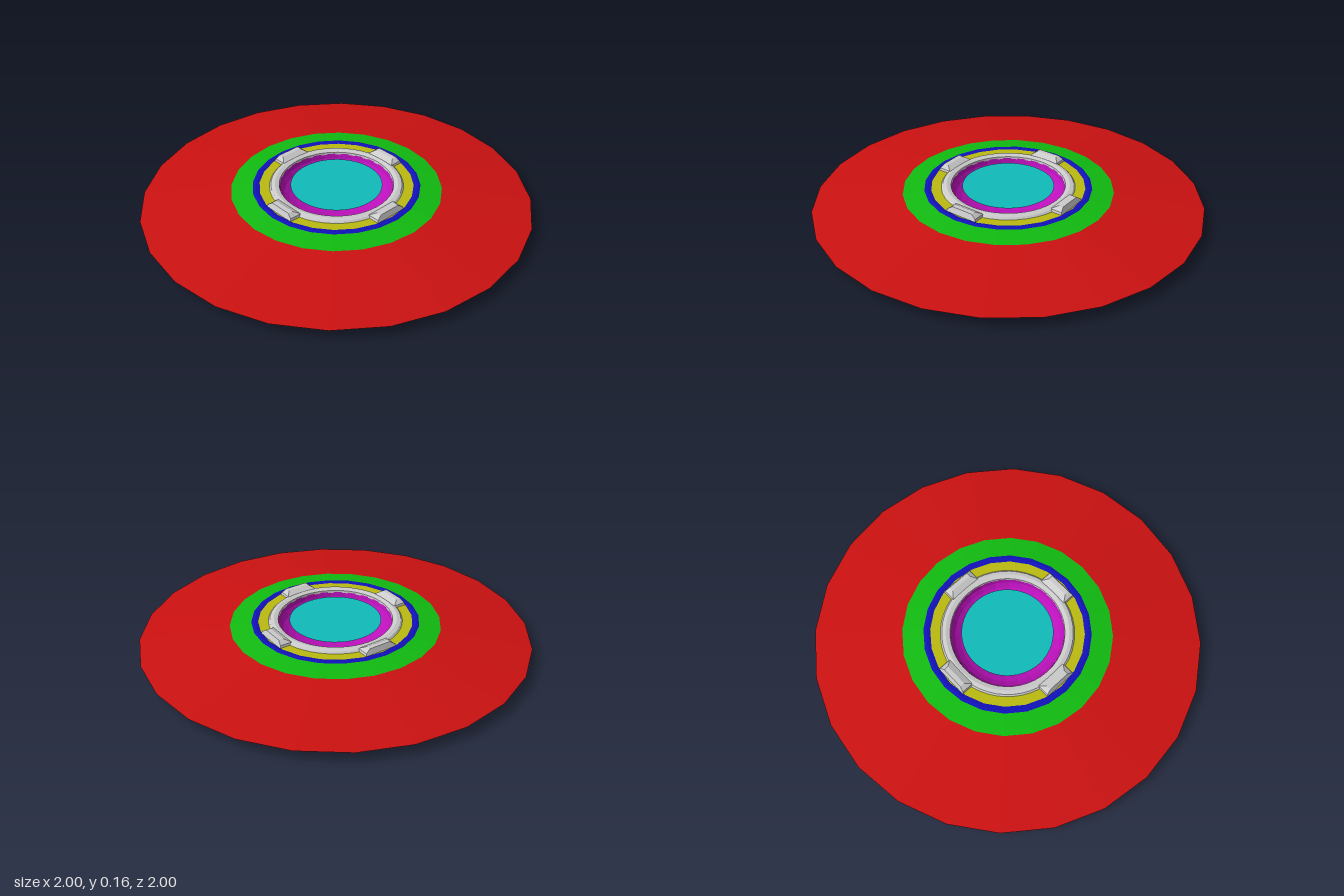
import * as THREE from 'three';
import { ConvexGeometry } from 'three/addons/geometries/ConvexGeometry.js';

const material = (color) =>
  new THREE.MeshStandardMaterial({ color, flatShading: true, side: THREE.DoubleSide });

// Turned shell from [radius, height] points, listed from the outside in
function turned(name, points, sides, mat) {
  const profile = points.map(([r, y]) => new THREE.Vector2(r, y));
  const mesh = new THREE.Mesh(new THREE.LatheGeometry(profile, sides), mat);
  mesh.name = name;
  return mesh;
}

export function createModel() {
  const model = new THREE.Group();
  model.name = 'recessedDisc';
  const grey = material(0xcccccc);

  // Wide sloping skirt and the rings stepping up to the middle
  model.add(
    turned('skirt', [[1, 0.055], [0.54, 0.116]], 24, material(0xcc1111)),
    turned('slopeRing', [[0.54, 0.116], [0.43, 0.13]], 24, material(0x11bb11)),
    turned('trimRing', [[0.43, 0.13], [0.415, 0.134], [0.395, 0.13]], 24, material(0x1111bb)),
    turned('seatRing', [[0.395, 0.13], [0.33, 0.13]], 24, material(0xbbbb11)),
    turned('collar', [[0.345, 0.128], [0.335, 0.139], [0.315, 0.144], [0.293, 0.138], [0.291, 0.125]], 48, grey),
  );

  // Squashed bowl hanging below the collar
  const bowl = [];
  for (let i = 0; i <= 8; i++) {
    const a = (i / 8) * Math.PI / 2;
    bowl.push([0.293 * Math.sin(a), 0.13 * (1 - Math.cos(a))]);
  }
  model.add(turned('bowl', bowl, 24, material(0xbb11bb)));

  // Flat lens in the mouth of the bowl
  const lens = new THREE.Mesh(new THREE.CircleGeometry(0.235, 48), material(0x11bbbb));
  lens.name = 'lens';
  lens.rotation.x = -Math.PI / 2;
  lens.position.y = 0.13;
  model.add(lens);

  // Bevelled clamp: raised at its outer edge, sloping in towards the bowl, with side ears
  const corners = [];
  for (const s of [-1, 1]) {
    corners.push(
      new THREE.Vector3(s * 0.09, 0.128, 0.31), new THREE.Vector3(s * 0.09, 0.128, 0.388),
      new THREE.Vector3(s * 0.085, 0.142, 0.318), new THREE.Vector3(s * 0.085, 0.142, 0.382),
      new THREE.Vector3(s * 0.06, 0.159, 0.35), new THREE.Vector3(s * 0.06, 0.159, 0.375),
    );
  }
  const clampGeometry = new ConvexGeometry(corners);

  for (let i = 0; i < 4; i++) {
    const clamp = new THREE.Mesh(clampGeometry, grey);
    clamp.name = 'clamp' + (i + 1);
    clamp.rotation.y = i * Math.PI / 2;
    model.add(clamp);

    // Plate under the seat ring, between neighbouring clamps
    const plate = new THREE.Mesh(
      new THREE.RingGeometry(0.295, 0.392, 10, 1, i * Math.PI / 2 + 0.26, Math.PI / 2 - 0.52), grey);
    plate.name = 'underPlate' + (i + 1);
    plate.rotation.x = -Math.PI / 2;
    plate.position.y = 0.126;
    model.add(plate);
  }

  return model;
}
